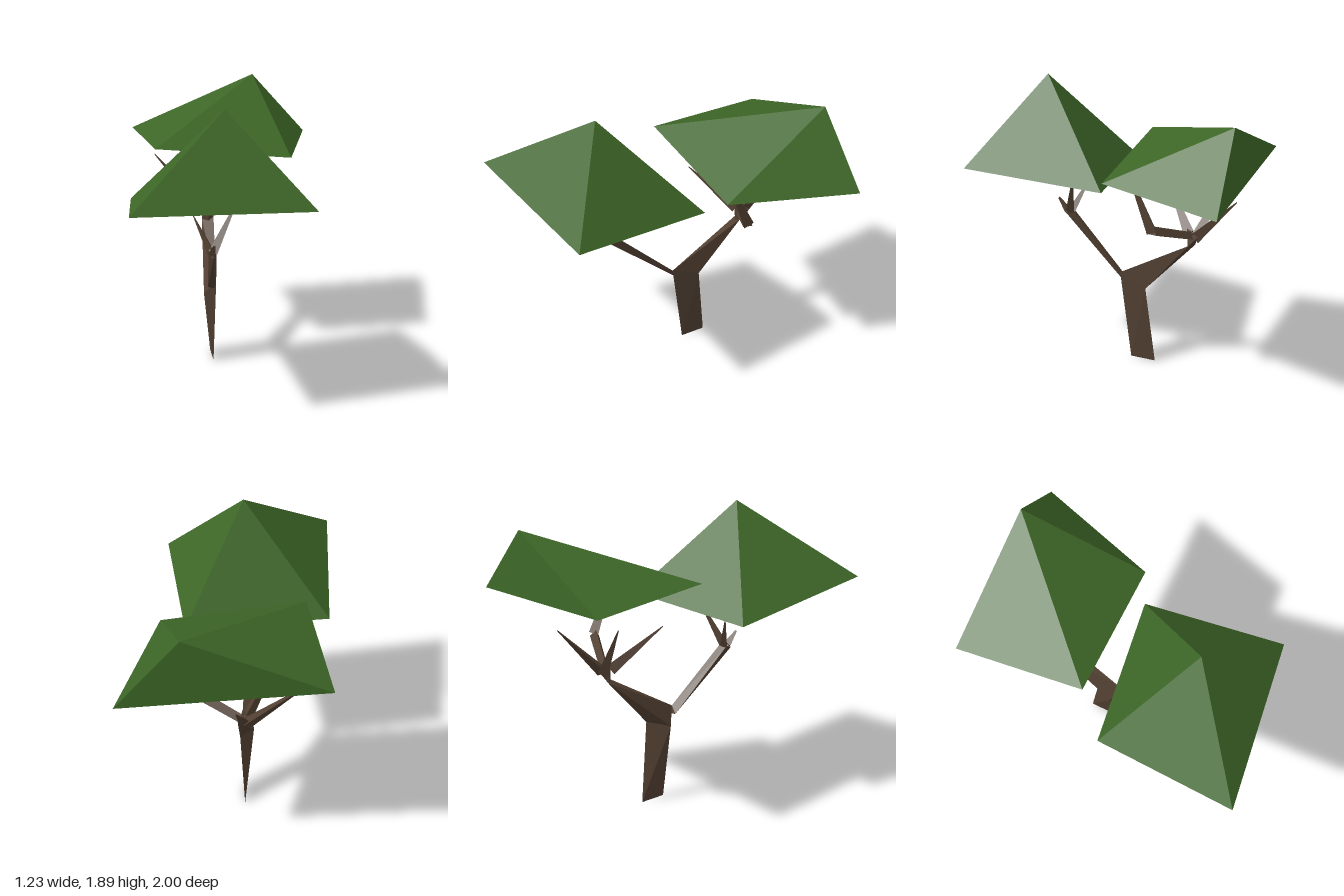
import * as THREE from 'three';
import { ConvexGeometry } from 'three/addons/geometries/ConvexGeometry.js';

const bark = new THREE.MeshStandardMaterial({ name: 'bark brown', color: 0x524032 });
const leaf = new THREE.MeshStandardMaterial({ name: 'leaf green', color: 0x3d6627 });

// Faceted solid wrapped around a few corner points
function hull(name, material, points) {
  const mesh = new THREE.Mesh(
    new ConvexGeometry(points.map((p) => new THREE.Vector3(...p))), material);
  mesh.name = name;
  return mesh;
}

// Three-sided section around a point, square to a direction
function section(centre, direction, radius) {
  const c = new THREE.Vector3(...centre);
  const side = new THREE.Vector3(0, 0, 1).cross(direction).normalize();
  const up = direction.clone().cross(side).normalize();
  return [0, 1, 2].map((i) => {
    const a = (i * 2 * Math.PI) / 3;
    return c.clone().addScaledVector(side, radius * Math.cos(a))
      .addScaledVector(up, radius * Math.sin(a)).toArray();
  });
}

// Tapered twig between two points
function twig(name, from, to, r0, r1) {
  const d = new THREE.Vector3(...to).sub(new THREE.Vector3(...from)).normalize();
  return hull(name, bark, [...section(from, d, r0), ...section(to, d, r1)]);
}

export function createModel() {
  const tree = new THREE.Group();
  tree.name = 'tree';

  // Trunk: a thin blade at the ground widening to a three-cornered fork
  const fork = [[-0.08, 0.61, -0.06], [-0.07, 0.535, -0.25], [-0.158, 0.505, -0.12]];
  tree.add(hull('trunk', bark, [[-0.095, 0, -0.14], [-0.108, 0, -0.31], ...fork]));

  // Two main limbs
  const backNode = [[-0.065, 0.9, -0.55], [-0.145, 0.88, -0.56], [-0.1, 0.85, -0.53]];
  tree.add(hull('backLimb', bark, [...fork, ...backNode]));
  tree.add(hull('backKnot', bark, [
    ...backNode, [-0.065, 0.97, -0.61], [-0.145, 0.95, -0.57], [-0.1, 1.0, -0.52],
  ]));
  tree.add(hull('frontLimb', bark, [
    [-0.08, 0.61, -0.06], [-0.135, 0.57, -0.07], [-0.09, 0.56, -0.07],
    [-0.1, 0.97, 0.31], [-0.15, 0.96, 0.32], [-0.125, 0.94, 0.375],
  ]));

  // Bent branch reaching sideways, then up into the back crown
  const elbow = [0.23, 1.08, -0.44];
  tree.add(twig('bentBranch', [-0.1, 0.95, -0.56], elbow, 0.03, 0.035));
  tree.add(twig('bentBranchTip', elbow, [0.25, 1.43, -0.29], 0.04, 0.01));

  // Tapering twigs
  const twigs = [
    ['backTwig', [-0.12, 0.94, -0.58], [-0.46, 1.32, -0.68], 0.04, 0.004],
    ['backTwig', [-0.1, 0.95, -0.58], [-0.06, 1.25, -0.86], 0.04, 0.003],
    ['backTwig', [-0.12, 0.96, -0.53], [-0.31, 1.24, -0.28], 0.04, 0.003],
    ['frontTwig', [-0.12, 0.96, 0.33], [0.04, 1.27, 0.22], 0.035, 0.003],
    ['frontTwig', [-0.13, 0.96, 0.32], [-0.24, 1.18, 0.24], 0.03, 0.003],
    ['frontTwig', [-0.125, 0.96, 0.35], [-0.12, 1.04, 0.42], 0.03, 0.008],
  ];
  twigs.forEach((t) => tree.add(twig(...t)));

  // Leaf crowns: skewed pyramids, apex first
  tree.add(hull('frontCrown', leaf, [
    [-0.06, 1.89, 0.45],
    [-0.62, 1.25, 0.09], [0.28, 1.29, -0.11], [0.455, 1.36, 0.77], [-0.62, 1.43, 1],
  ]));
  tree.add(hull('backCrown', leaf, [
    [0.235, 1.81, -0.94],
    [-0.61, 1.455, -0.9], [0.61, 1.385, -1], [0.42, 1.41, -0.19], [-0.46, 1.51, -0.1],
  ]));

  return tree;
}
